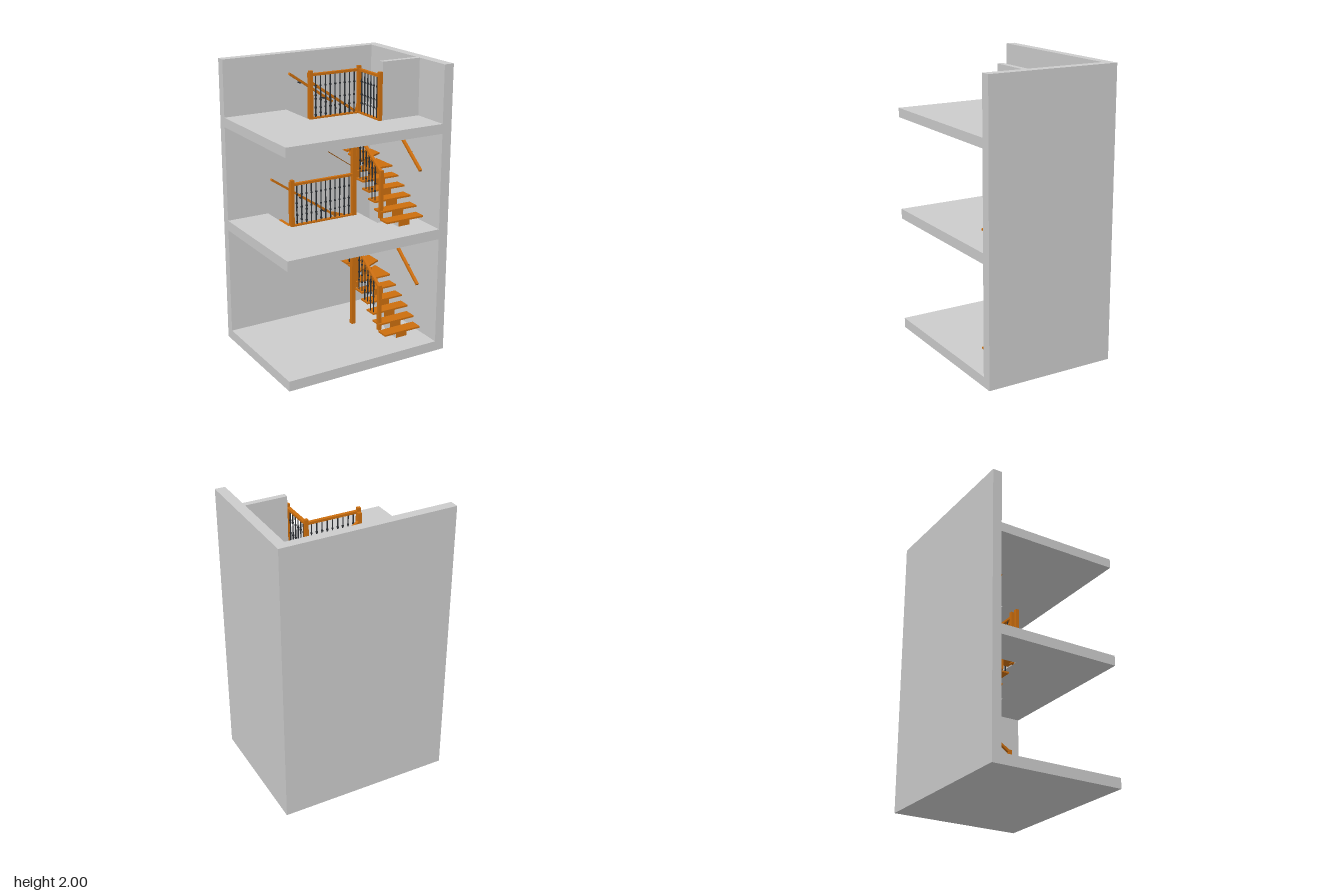
import * as THREE from 'three';

const grey = new THREE.MeshStandardMaterial({ color: 0xcccccc });
const wood = new THREE.MeshStandardMaterial({ color: 0xcc6e0e });
const iron = new THREE.MeshStandardMaterial({ color: 0x2b2f33 });

const RUN = 0.0755, RAIL = 0.25, TREAD = 0.012;
const BACK = -0.373, INNER = -0.11;   // upper flight: wall side and open side (z)

function add(parent, name, geometry, material) {
  const mesh = new THREE.Mesh(geometry, material);
  mesh.name = name;
  parent.add(mesh);
  return mesh;
}

// Box given by its min and max on each axis
function box(parent, name, x0, x1, y0, y1, z0, z1, material) {
  const mesh = add(parent, name, new THREE.BoxGeometry(x1 - x0, y1 - y0, z1 - z0), material);
  mesh.position.set((x0 + x1) / 2, (y0 + y1) / 2, (z0 + z1) / 2);
}

function post(parent, name, x, z, y0, y1, w, material = wood) {
  box(parent, name, x - w / 2, x + w / 2, y0, y1, z - w / 2, z + w / 2, material);
}

// Straight bar between two points
function bar(parent, name, a, b, w = 0.02, h = 0.016) {
  const from = new THREE.Vector3(...a), to = new THREE.Vector3(...b);
  const mesh = add(parent, name, new THREE.BoxGeometry(w, h, from.distanceTo(to)), wood);
  mesh.position.copy(from).lerp(to, 0.5);
  mesh.lookAt(to);
}

// Horizontal plate from an outline of [x, z] points
function plate(parent, name, points, y0, thickness, material) {
  const shape = new THREE.Shape(points.map(([x, z]) => new THREE.Vector2(x, -z)));
  const geometry = new THREE.ExtrudeGeometry(shape, { depth: thickness, bevelEnabled: false });
  add(parent, name, geometry.rotateX(-Math.PI / 2).translate(0, y0, 0), material);
}

// Thin iron baluster with three collars
function baluster(parent, x, z, y0, y1) {
  post(parent, 'baluster', x, z, y0, y1, 0.006, iron);
  for (const t of [0.25, 0.45, 0.75]) {
    const y = y0 + (y1 - y0) * t;
    post(parent, 'balusterCollar', x, z, y - 0.005, y + 0.005, 0.011, iron);
  }
}

// Level guard rail between two points [x, z]
function guard(parent, a, b, floor, count) {
  const group = new THREE.Group();
  group.name = 'landingGuard';
  parent.add(group);
  bar(group, 'guardTopRail', [a[0], floor + 0.293, a[1]], [b[0], floor + 0.293, b[1]], 0.024, 0.016);
  bar(group, 'guardBottomRail', [a[0], floor + 0.005, a[1]], [b[0], floor + 0.005, b[1]], 0.024, 0.01);
  for (let i = 1; i <= count; i++) {
    const t = i / (count + 1);
    baluster(group, a[0] + (b[0] - a[0]) * t, a[1] + (b[1] - a[1]) * t, floor, floor + 0.29);
  }
}

// Sawtooth centre beam: steps are [distance, top], then the underside points
function spine(parent, name, steps, end, underside, angle, offset) {
  const pts = [];
  steps.forEach(([s, top], i) => {
    const next = i + 1 < steps.length ? steps[i + 1][0] : end;
    pts.push(new THREE.Vector2(s, top), new THREE.Vector2(next, top));
  });
  underside.forEach(p => pts.push(new THREE.Vector2(...p)));
  const geometry = new THREE.ExtrudeGeometry(new THREE.Shape(pts), { depth: 0.09, bevelEnabled: false });
  geometry.rotateY(angle).translate(...offset);
  add(parent, name, geometry, [grey, wood]);
}

// Quarter-turn stair with straight lower flight, winders and upper flight
function stair(parent, base, top, count) {
  const g = new THREE.Group();
  g.name = 'stair';
  parent.add(g);
  const rise = (top - base) / count, pitch = rise / RUN;
  const level = k => base + rise * k;
  const zOf = k => 0.3 - (k - 1) * 0.077;
  const xOf = k => 0.245 - (k - 9) * RUN;
  const under = k => level(k) - TREAD;
  const lowRail = z => level(1) + (0.3 - z) * pitch + RAIL;
  const highRail = x => level(9) + (0.245 - x) * pitch + RAIL;

  // lower flight
  for (let k = 1; k <= 5; k++) {
    box(g, 'lowerTread', 0.23, 0.52, under(k), level(k), zOf(k) - 0.087, zOf(k), wood);
    if (k > 2) for (const d of [0.02, 0.058])
      baluster(g, 0.243, zOf(k) - d, level(k), lowRail(zOf(k) - d));
  }

  // winders
  const winders = [
    [[0.23, -0.085], [0.52, -0.085], [0.52, -0.29], [0.25, -0.14]],
    [[0.255, -0.12], [0.52, -0.253], [0.52, BACK], [0.37, BACK]],
    [[0.265, -0.1], [0.405, BACK], [0.22, BACK], [0.22, -0.1]],
  ];
  winders.forEach((p, i) => plate(g, 'winderTread', p, under(6 + i), TREAD, wood));

  // upper flight
  for (let k = 9; k < count; k++) {
    box(g, 'upperTread', xOf(k) - 0.086, xOf(k), under(k), level(k), BACK, -0.1, wood);
    for (const d of [0.02, 0.058])
      baluster(g, xOf(k) - d, INNER, level(k), highRail(xOf(k) - d));
  }

  // centre beams
  const low = [];
  for (let k = 1; k <= 6; k++) low.push([-zOf(k) + 0.015, under(k)]);
  low.push([0.175, under(7)]);
  const drop = s => level(1) + (s + 0.3) * pitch - 0.14;
  const footS = (base - level(1) + 0.14) / pitch - 0.3;
  spine(g, 'lowerBeam', low, 0.28, [[0.28, drop(0.28)], [footS, base], [-0.285, base]],
    Math.PI / 2, [0.33, 0, 0]);
  const high = [[-0.33, under(8)]];
  for (let k = 9; k < count; k++) high.push([-xOf(k) + 0.015, under(k)]);
  const end = -xOf(count) + 0.01;
  const dropHigh = s => level(9) + (s + 0.245) * pitch - 0.14;
  spine(g, 'upperBeam', high, end, [[end, dropHigh(end)], [-0.33, dropHigh(-0.33)]],
    Math.PI, [0, 0, -0.19]);

  // newels and sloping rails on the open side
  const zFoot = 0.2, xTop = xOf(count) + 0.012;
  post(g, 'footNewel', 0.243, zFoot, level(1), base + 0.385, 0.024);
  post(g, 'cornerNewel', 0.247, INNER, level(5), highRail(0.247) + 0.04, 0.024);
  post(g, 'topNewel', xTop, INNER, top - 0.07, top + 0.3, 0.024);
  bar(g, 'lowerHandrail', [0.243, lowRail(zFoot), zFoot], [0.243, lowRail(INNER), INNER]);
  bar(g, 'upperHandrail', [0.247, highRail(0.247), INNER], [xTop, highRail(xTop), INNER]);

  // wall handrails with brackets
  bar(g, 'sideWallHandrail', [0.51, base + 0.36, 0.27], [0.51, base + 0.645, -0.1]);
  bar(g, 'backWallHandrail', [0.2, highRail(0.2), -0.375], [xOf(count), highRail(xOf(count)), -0.375]);
  for (const z of [0.13, -0.07]) {
    const y = base + 0.36 + (0.27 - z) * 0.77 - 0.015;
    box(g, 'railBracket', 0.505, 0.535, y - 0.004, y + 0.004, z - 0.004, z + 0.004, iron);
  }
  for (const x of [0.135, -0.05]) {
    const y = highRail(x) - 0.015;
    box(g, 'railBracket', x - 0.004, x + 0.004, y - 0.004, y + 0.004, -0.4, -0.37, iron);
  }
  return g;
}

export function createModel() {
  const model = new THREE.Group();
  model.name = 'stairwell';

  // walls
  box(model, 'backWall', -0.605, 0.605, 0, 2, -0.465, -0.4, grey);
  box(model, 'sideWall', 0.535, 0.605, 0, 2, -0.4, 0.465, grey);
  box(model, 'partition', 0.25, 0.535, 1.615, 2, 0.15, 0.19, grey);

  // floors, the upper two cut around the stair
  box(model, 'groundFloor', -0.605, 0.535, 0, 0.07, -0.4, 0.465, grey);
  for (const [y0, y1, edge] of [[0.825, 0.895, -0.3], [1.55, 1.615, -0.145]]) {
    plate(model, 'upperFloor', [[-0.605, 0.465], [0.535, 0.465], [0.535, 0.15], [0.25, 0.15],
      [0.25, -0.1], [edge, -0.1], [edge, -0.4], [-0.605, -0.4]], y0, y1 - y0, grey);
  }

  // stairs
  const first = stair(model, 0.07, 0.895, 16);
  bar(first, 'winderHandrail', [0.5, 0.715, -0.375], [0.2, 0.82, -0.375]);
  stair(model, 0.895, 1.615, 14);

  // column and landing guards
  post(model, 'column', 0.198, -0.078, 0.07, 1.55, 0.03);
  post(model, 'guardNewel', -0.28, -0.078, 0.895, 1.22, 0.024);
  guard(model, [-0.28, -0.078], [0.198, -0.078], 0.895, 12);
  for (const [x, z] of [[-0.132, -0.078], [0.235, -0.078], [0.235, 0.182]])
    post(model, 'guardNewel', x, z, 1.615, 1.935, 0.024);
  guard(model, [-0.132, -0.078], [0.235, -0.078], 1.615, 9);
  guard(model, [0.235, -0.078], [0.235, 0.182], 1.615, 6);
  return model;
}
